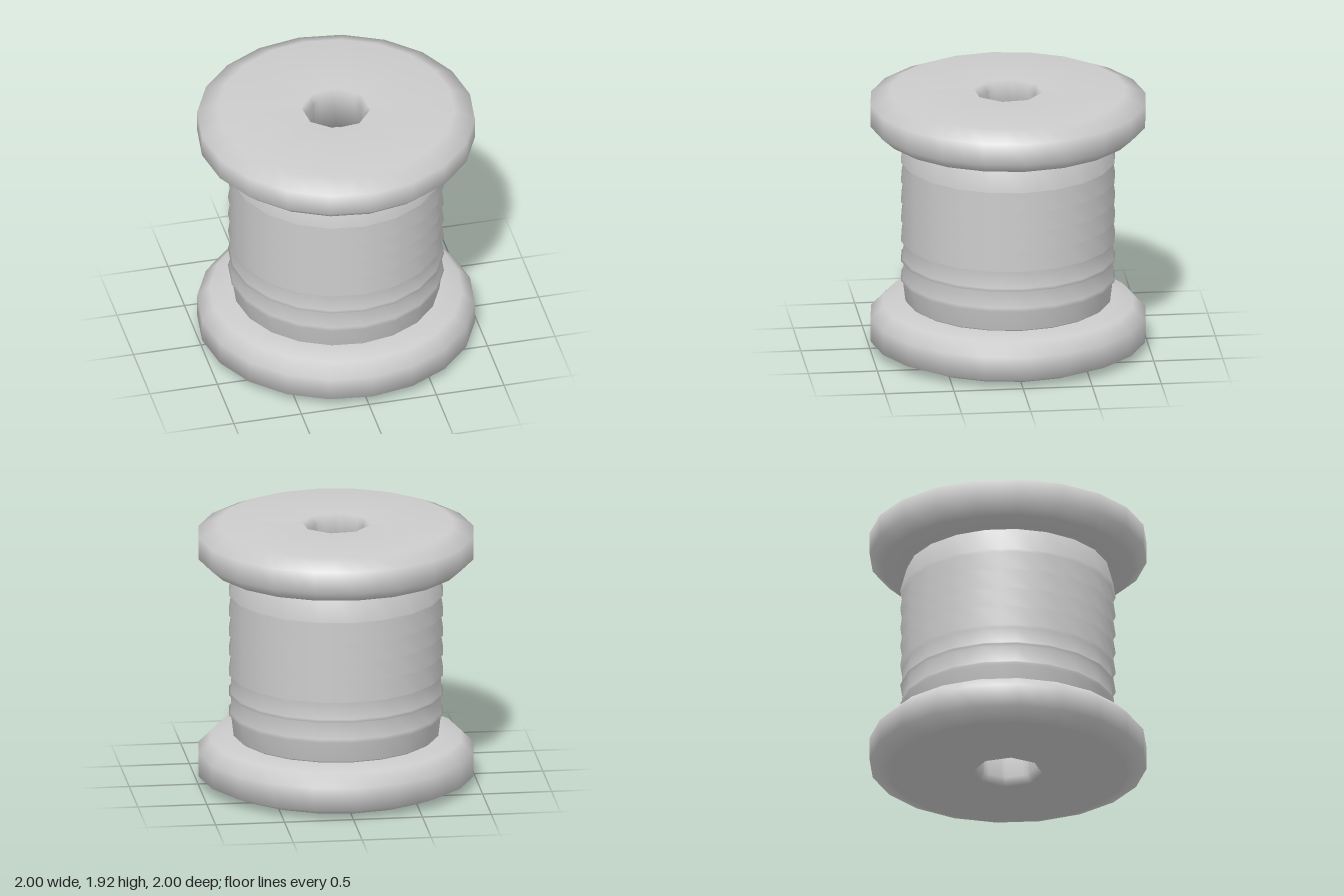
import * as THREE from 'three';
import { mergeVertices } from 'three/addons/utils/BufferGeometryUtils.js';

const STEPS = 40; // holds the corners of both the 20-sided rim and the 8-sided bore
const START = 0.03;

// Radius of a regular n-sided outline at an angle, relative to its corner radius
function polygonScale(angle, n) {
  const wedge = (Math.PI * 2) / n;
  const a = ((angle % wedge) + wedge + 1e-9) % wedge;
  return Math.cos(wedge / 2) / Math.cos(a - wedge / 2);
}

// Turned part: profile of [radius, y] points, with faceted outlines and smooth normals
function turned(profile) {
  const points = profile.map(([r, y]) => new THREE.Vector2(r, y));
  const geometry = new THREE.LatheGeometry(points, STEPS, START);
  const pos = geometry.attributes.position;
  const step = (Math.PI * 2) / STEPS;
  for (let i = 0; i < pos.count; i++) {
    const angle = Math.floor(i / points.length) * step;
    const bore = points[i % points.length].x < 0.3;
    const s = bore ? polygonScale(angle - 3 * step, 8) : polygonScale(angle, 20);
    pos.setX(i, pos.getX(i) * s);
    pos.setZ(i, pos.getZ(i) * s);
  }
  geometry.deleteAttribute('uv');
  geometry.deleteAttribute('normal');
  const merged = mergeVertices(geometry, 1e-4);
  merged.computeVertexNormals();
  return merged;
}

export function createModel() {
  const group = new THREE.Group();
  const grey = new THREE.MeshStandardMaterial({ color: 0xcccccc });
  grey.name = 'plain grey';

  const add = (name, profile) => {
    const mesh = new THREE.Mesh(turned(profile), grey);
    mesh.name = name;
    group.add(mesh);
  };

  // End discs with a bevelled rim and a central bore
  add('bottomDisc', [
    [0.22, 0.345], [0.22, 0.06], [0.25, 0], [0.85, 0], [1, 0.065], [1, 0.235],
    [0.91, 0.325], [0.72, 0.345], [0.22, 0.345],
  ]);
  add('topDisc', [
    [0.22, 1.6], [0.72, 1.6], [0.91, 1.62], [1, 1.7], [1, 1.86], [0.85, 1.925],
    [0.25, 1.925], [0.22, 1.865], [0.22, 1.6],
  ]);

  // Wound thread: bands that flare slightly downward, each with a small ridge
  const thread = [[0, 0.34], [0.72, 0.342], [0.745, 0.36], [0.762, 0.5]];
  const ridges = [0.515, 0.665, 0.815, 0.97, 1.115, 1.265, 1.415];
  ridges.forEach((y, i) => {
    if (i > 0) thread.push([0.758, y - 0.014]);
    thread.push([0.778, y]);
    if (i < 2) thread.push([0.766, y + 0.015]);
  });
  thread.push([0.73, 1.59], [0.71, 1.602], [0, 1.605]);
  add('woundThread', thread);

  return group;
}
